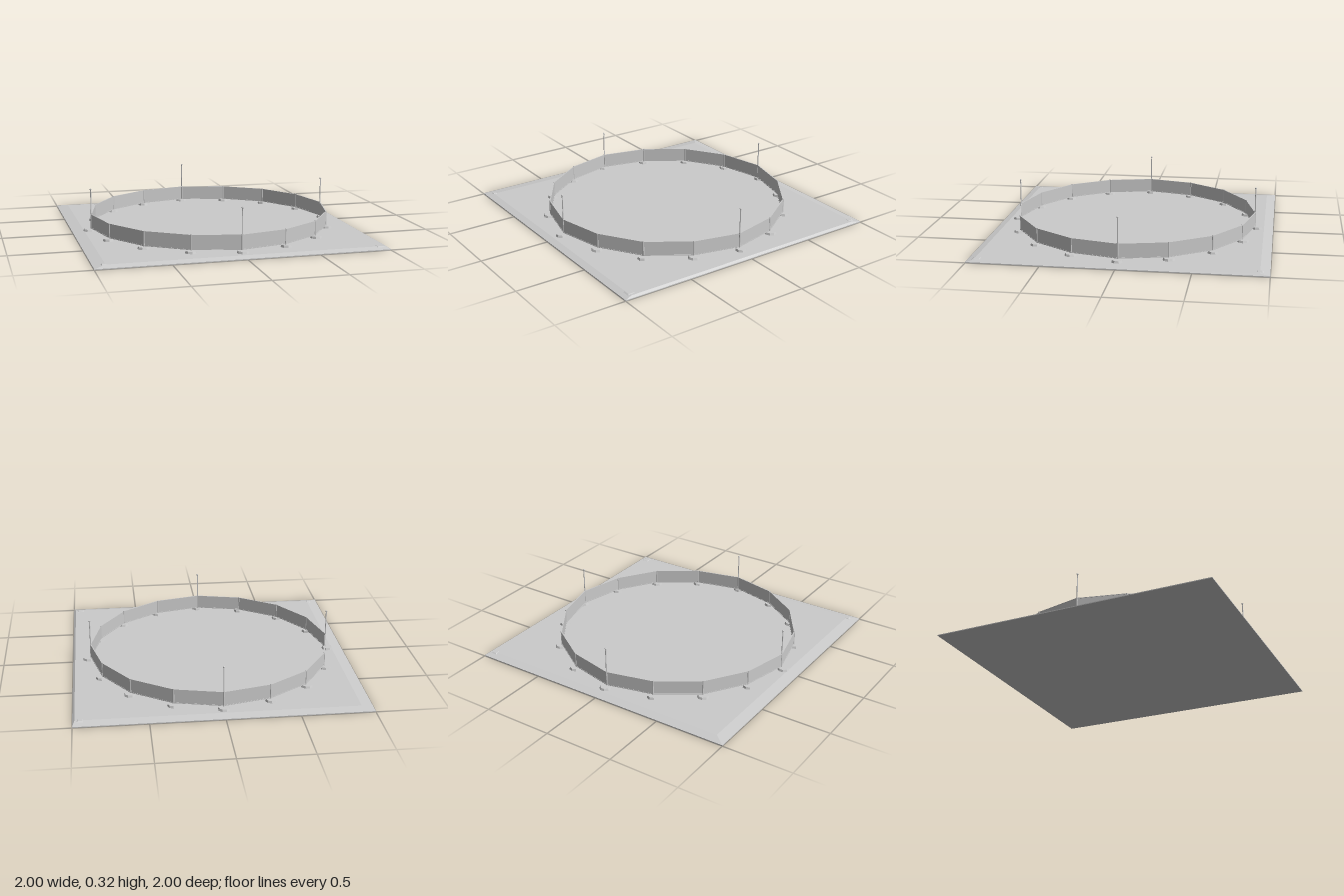
import * as THREE from 'three';

const grey = new THREE.MeshStandardMaterial({ color: 0xcccccc, flatShading: true, side: THREE.DoubleSide });

function add(parent, name, geometry, x = 0, y = 0, z = 0) {
  const mesh = new THREE.Mesh(geometry, grey);
  mesh.name = name;
  mesh.position.set(x, y, z);
  parent.add(mesh);
  return mesh;
}

// Square slab lofted through rings of four corners, [left, right, back, front, y]
function slabGeometry() {
  const rings = [
    [-1, 1, -1, 1, 0],
    [-1, 1, -1, 1, 0.006],
    [-0.92, 0.985, -0.935, 0.95, 0.018],
  ];
  const pos = [];
  for (const [l, r, b, f, y] of rings) pos.push(l, y, f, r, y, f, r, y, b, l, y, b);
  const index = [0, 2, 1, 0, 3, 2, 8, 9, 10, 8, 10, 11];
  for (let k = 0; k < 2; k++) {
    for (let i = 0; i < 4; i++) {
      const a = k * 4 + i, b = k * 4 + (i + 1) % 4;
      index.push(a, b, b + 4, a, b + 4, a + 4);
    }
  }
  const g = new THREE.BufferGeometry();
  g.setAttribute('position', new THREE.Float32BufferAttribute(pos, 3));
  g.setIndex(index);
  g.computeVertexNormals();
  return g;
}

export function createModel() {
  const model = new THREE.Group();
  model.name = 'roundEnclosure';
  add(model, 'groundSlab', slabGeometry());

  const count = 16;
  const at = (i) => {
    const a = (i / count) * Math.PI * 2;
    const r = i % 4 === 0 ? 0.868 : 0.856;
    return new THREE.Vector2(Math.cos(a) * r, Math.sin(a) * r);
  };

  const footShape = new THREE.CylinderGeometry(0.036, 0.042, 0.016, 8);
  for (let i = 0; i < count; i++) {
    const p = at(i), q = at(i + 1);
    const tall = i % 4 === 0;
    const out = p.clone().normalize();

    // Post on its foot, with a knob on the four tall ones
    const post = new THREE.Group();
    post.name = tall ? 'tallPost' : 'shortPost';
    model.add(post);
    const top = tall ? 0.315 : 0.14;
    const rod = tall ? 0.004 : 0.006;
    add(post, 'rod', new THREE.CylinderGeometry(rod, rod, top - 0.016, 8), p.x, (top + 0.016) / 2, p.y);
    if (tall) {
      add(post, 'lowerSleeve', new THREE.CylinderGeometry(0.006, 0.006, 0.122, 8), p.x, 0.079, p.y);
      add(post, 'knob', new THREE.SphereGeometry(0.007, 8, 6), p.x, 0.318, p.y);
    }
    const shift = tall ? 0.018 : 0.008;
    const foot = add(post, 'foot', footShape, p.x + out.x * shift, 0.025, p.y + out.y * shift);
    foot.rotation.y = -Math.atan2(p.y, p.x) + Math.PI / 8;

    // Flat wall panel with a slim top and bottom rail to the next post
    const span = p.distanceTo(q);
    const panel = new THREE.Group();
    panel.name = 'wallPanel';
    panel.position.set((p.x + q.x) / 2, 0, (p.y + q.y) / 2);
    panel.rotation.y = -Math.atan2(q.y - p.y, q.x - p.x);
    model.add(panel);
    add(panel, 'panelSheet', new THREE.BoxGeometry(span, 0.1, 0.003), 0, 0.086, 0);
    for (const y of [0.037, 0.135]) add(panel, 'rail', new THREE.BoxGeometry(span, 0.005, 0.007), 0, y, 0);
  }

  // Low wedges at the slab corners
  for (const [x, z, s] of [[0.945, 0.935, 0.07], [-0.93, 0.94, 0.04], [0.95, -0.935, 0.05]]) {
    const wedge = add(model, 'cornerWedge', new THREE.CylinderGeometry(s * 0.4, s * 0.7, 0.008, 4), x, 0.016, z);
    wedge.rotation.y = Math.PI / 4;
  }
  return model;
}
